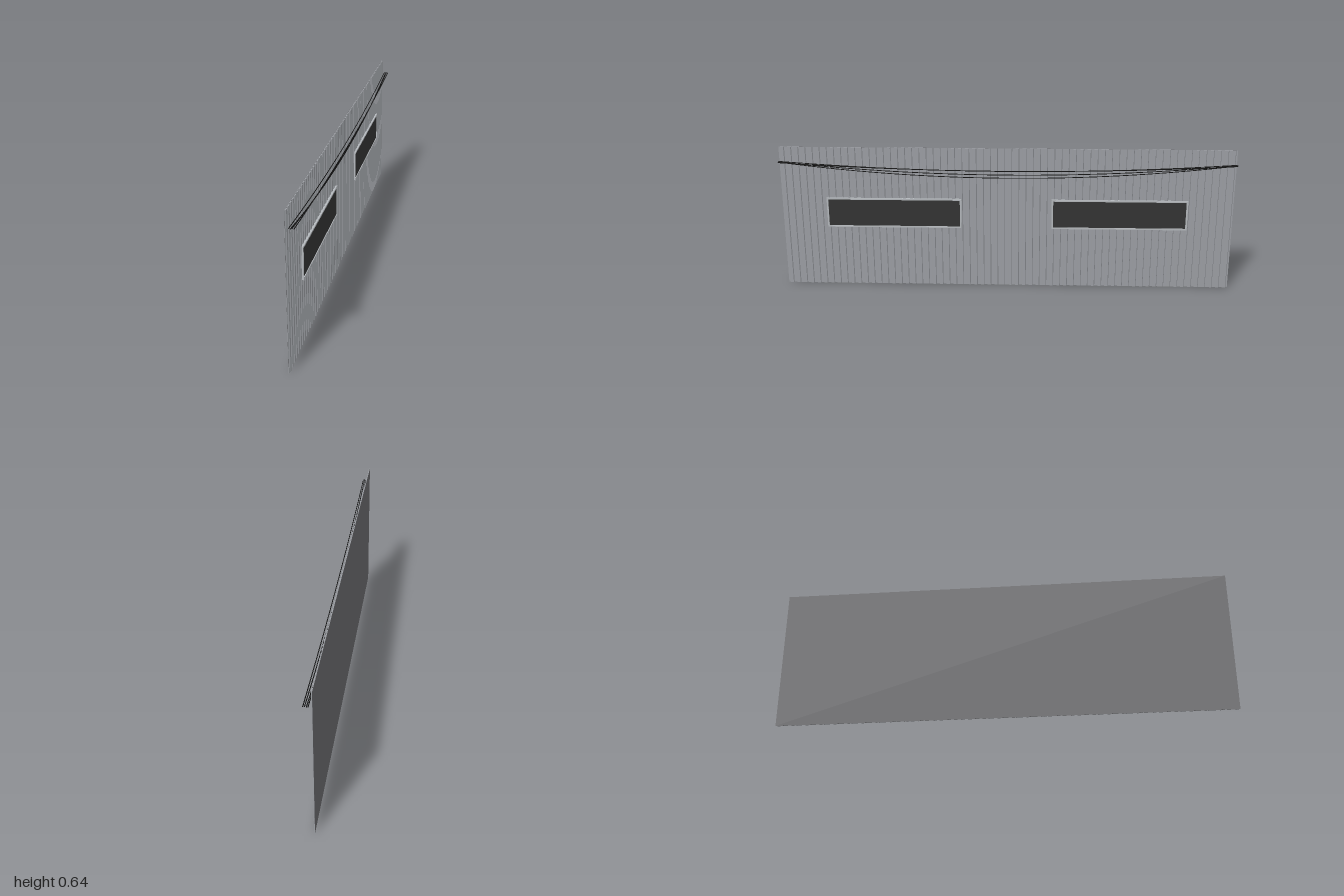
import * as THREE from 'three';

const mat = (name, color, extra = {}) => Object.assign(new THREE.MeshStandardMaterial({ color, ...extra }), { name });

export function createModel() {
  const group = new THREE.Group();
  const sheetMat = mat('light grey metal', 0x9b9ea3);
  const backMat = mat('dark grey backing', 0x67676a);
  const frameMat = mat('pale frame', 0xb4b8bc);
  const glassMat = mat('dark glass', 0x333333);
  const cableMat = mat('black cable', 0x111111);

  const add = (name, geometry, material, parent = group) => {
    const mesh = new THREE.Mesh(geometry, material);
    mesh.name = name;
    parent.add(mesh);
    return mesh;
  };

  // Corrugated wall: ribbed cross-section extruded upwards
  const back = -0.0155, valley = -0.0145, crest = -0.0105, height = 0.64;
  const ribs = 64, pitch = 2 / ribs;
  const profile = new THREE.Shape();
  profile.moveTo(back, -1);
  profile.lineTo(valley, -1);
  for (let i = 0; i < ribs; i++) {
    const z = -1 + i * pitch;
    profile.lineTo(valley, z + pitch * 0.2);
    profile.lineTo(crest, z + pitch * 0.3);
    profile.lineTo(crest, z + pitch * 0.7);
    profile.lineTo(valley, z + pitch * 0.8);
  }
  profile.lineTo(valley, 1);
  profile.lineTo(back, 1);
  profile.closePath();
  const wall = new THREE.ExtrudeGeometry(profile, { depth: height, bevelEnabled: false });
  wall.rotateX(-Math.PI / 2);
  add('corrugatedWall', wall, sheetMat);

  // Flat backing sheet
  const backing = add('wallBacking', new THREE.BoxGeometry(0.0005, height, 2), backMat);
  backing.position.set(back - 0.00025, height / 2, 0);

  // Two long windows with raised frames
  const w = 0.6, h = 0.135, t = 0.007;
  const rect = (path, a, b) => {
    path.moveTo(-a, -b);
    path.lineTo(a, -b);
    path.lineTo(a, b);
    path.lineTo(-a, b);
    path.closePath();
    return path;
  };
  for (const side of [-1, 1]) {
    const win = new THREE.Group();
    win.name = side > 0 ? 'frontWindow' : 'rearWindow';
    win.position.set(-0.0125, 0.342, side * 0.5);
    win.rotation.y = Math.PI / 2;
    group.add(win);
    const outline = rect(new THREE.Shape(), w / 2, h / 2);
    outline.holes.push(rect(new THREE.Path(), w / 2 - t, h / 2 - t));
    add('windowFrame', new THREE.ExtrudeGeometry(outline, { depth: 0.009, bevelEnabled: false }), frameMat, win);
    const glass = add('windowGlass', new THREE.BoxGeometry(w - 2 * t, h - 2 * t, 0.005), glassMat, win);
    glass.position.z = 0.0035;
  }

  // Sagging cables: [x, end height, lowest height]
  const cables = [[-0.001, 0.577, 0.54], [0.005, 0.575, 0.511], [0.011, 0.578, 0.527], [0.0175, 0.576, 0.546]];
  for (const [x, top, low] of cables) {
    const points = [];
    for (let i = 0; i <= 16; i++) {
      const z = -1 + i / 8;
      points.push(new THREE.Vector3(x, low + (top - low) * z * z, z));
    }
    const curve = new THREE.CatmullRomCurve3(points);
    add('cable', new THREE.TubeGeometry(curve, 32, 0.0018, 6, false), cableMat);
    // End caps
    for (const end of [-1, 1]) {
      const cap = add('cableEnd', new THREE.CircleGeometry(0.0018, 6), cableMat);
      cap.position.set(x, top, end);
      if (end < 0) cap.rotation.y = Math.PI;
    }
  }
  return group;
}
